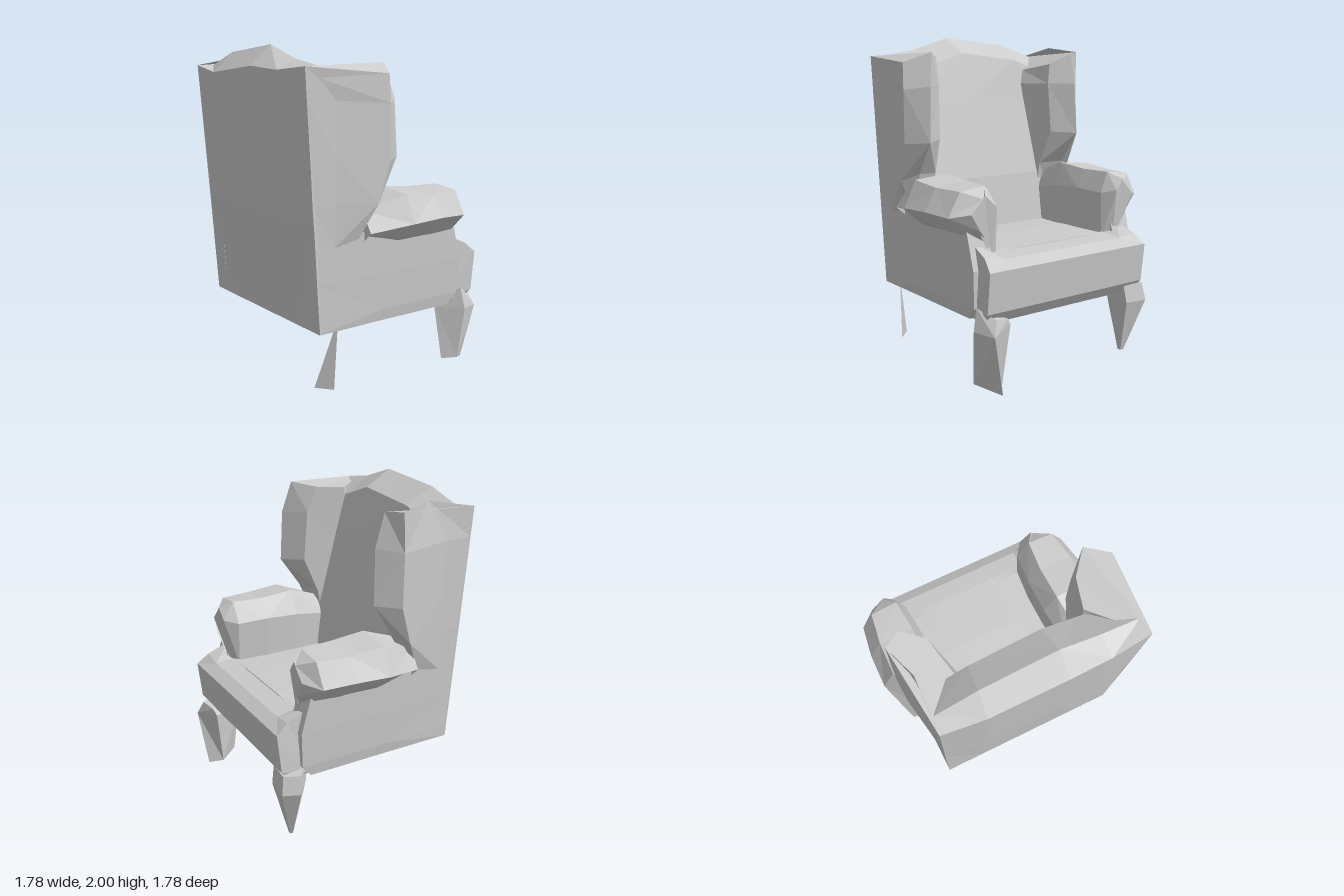
import * as THREE from 'three';

const material = new THREE.MeshStandardMaterial({ color: 0xcccccc, flatShading: true });

// Closed faceted solid through rings of [x, y, z] points, turned outward by its signed volume.
function loft(name, rings) {
  const tris = [];
  const n = rings[0].length;
  for (let i = 0; i < rings.length - 1; i++) {
    for (let j = 0; j < n; j++) {
      const k = (j + 1) % n;
      const a = rings[i][j], b = rings[i][k], c = rings[i + 1][k], d = rings[i + 1][j];
      if ((i + j) % 2) tris.push([a, b, c], [a, c, d]);
      else tris.push([a, b, d], [b, c, d]);
    }
  }
  const first = rings[0], last = rings[rings.length - 1];
  for (let j = 1; j < n - 1; j++) {
    tris.push([first[0], first[j + 1], first[j]], [last[0], last[j], last[j + 1]]);
  }
  let volume = 0;
  const [a, b, c] = [0, 1, 2].map(() => new THREE.Vector3());
  for (const t of tris) {
    volume += a.fromArray(t[0]).dot(b.fromArray(t[1]).cross(c.fromArray(t[2])));
  }
  if (volume < 0) tris.forEach((t) => t.reverse());
  const geometry = new THREE.BufferGeometry();
  geometry.setAttribute('position', new THREE.Float32BufferAttribute(tris.flat(2), 3));
  geometry.computeVertexNormals();
  const mesh = new THREE.Mesh(geometry, material);
  mesh.name = name;
  return mesh;
}

const mirror = (rings, side) => rings.map((r) => r.map(([x, y, z]) => [x * side, y, z]));

// Four-cornered horizontal ring
const rect = (y, x0, x1, z0, z1) => [[x0, y, z0], [x1, y, z0], [x1, y, z1], [x0, y, z1]];

function createBack() {
  // half width factor, rear edge height, crown height, rear bulge, cushion bulge
  const slices = [[-1, 1.88, 1.88, 0, 0], [-0.6, 1.86, 1.92, 0.02, 0.01], [-0.18, 1.88, 2, 0.03, 0.03],
    [0.58, 1.84, 1.96, 0.02, 0.01], [1, 1.88, 1.88, 0, 0]];
  return loft('backrest', slices.map(([f, edge, top, rear, puff]) => [
    [0.595 * f, 0.41, -0.545],
    [0.6 * f, 1.04, -0.585 - rear],
    [0.613 * f, edge, -0.645 - rear],
    [0.6 * f, top, -0.54],
    [0.56 * f, top - 0.1, -0.37],
    [0.55 * f, 1.6, -0.33 + puff],
    [0.55 * f, 1.1, -0.22 + puff],
    [0.55 * f, 0.74, -0.18 + puff],
    [0.55 * f, 0.41, -0.18],
  ]));
}

function createSeat() {
  const seat = new THREE.Group();
  seat.name = 'seat';
  // Front of the cushion spreads in front of the arms and climbs to meet them
  const section = (x, rise) => [
    [x * 0.95, 0.41, 0.4], [x * 0.95, 0.41, 0.57], [x, 0.48, 0.62], [x, 0.72, 0.645],
    [x * 0.97, 0.76 + rise * 0.3, 0.57], [x * 0.95, 0.77 + rise, 0.42],
  ];
  seat.add(loft('cushionFront', [
    section(-0.6, 0.08), section(-0.46, 0.01), section(0, 0.01), section(0.46, 0.01), section(0.59, 0.06),
  ]));
  // Main block with a softly domed top
  seat.add(loft('cushion', [-0.48, -0.2, 0.2, 0.48].map((x) => {
    const d = Math.abs(x) < 0.3 ? 0.012 : 0;
    return [[x, 0.405, -0.5], [x, 0.77, -0.3], [x, 0.775 + d, 0.1], [x, 0.77 + d, 0.45], [x, 0.405, 0.5]];
  })));
  return seat;
}

function createSide(side) {
  const prefix = side > 0 ? 'left' : 'right';
  const group = new THREE.Group();
  group.name = prefix + 'Side';

  // Upholstered panel below the armrest, fuller towards the front
  const panel = [[0.41, 0.593, 0.59, -0.545, 0.43], [0.48, 0.595, 0.6, -0.55, 0.49],
    [0.7, 0.597, 0.61, -0.565, 0.5], [0.96, 0.599, 0.615, -0.58, 0.43]];
  group.add(loft(prefix + 'Panel', mirror(panel.map(([y, rearX, frontX, z0, z1]) => [
    [0.47, y, z0], [rearX, y, z0], [frontX, y, -0.1], [frontX, y, z1], [0.47, y, z1],
  ]), side)));

  // Armrest, its inner face running down to the seat
  const inset = side > 0 ? 0.03 : 0;
  const arm = [
    // z, inner x, underside x, outer x, bottom, middle, top
    [-0.25, 0.4, 0.62, 0.67, 0.945, 0.96, 1.1],
    [0.0, 0.37, 0.66, 0.755, 0.91, 1.0, 1.18],
    [0.22, 0.37, 0.65, 0.75, 0.91, 1.01, 1.16],
    [0.42, 0.39, 0.62, 0.72, 0.9, 1.0, 1.16],
    [0.5, 0.45, 0.56, 0.62, 0.92, 1.02, 1.12],
  ];
  group.add(loft(prefix + 'Armrest', mirror(arm.map(([z, xi, xu, xo, y0, y1, y2]) => [
    [xi + inset + 0.01, 0.74, Math.min(z, 0.46)], [xu, y0, z], [xo, y1, z],
    [xo - 0.08, y2 - 0.02, z], [xi + 0.08, y2, z], [xi + inset, y1 + 0.03, z],
  ]), side)));

  // Wing: rear outer, mid outer, front outer, nose, front inner, rear inner
  const top = side > 0
    ? [[0.613, 1.88, -0.645], [0.6, 1.94, -0.32], [0.67, 1.91, -0.11], [0.57, 1.9, -0.05], [0.45, 1.83, -0.13], [0.4, 1.79, -0.36]]
    : [[0.613, 1.88, -0.645], [0.615, 1.82, -0.56], [0.67, 1.84, -0.13], [0.52, 1.9, -0.05], [0.41, 1.87, -0.18], [0.36, 1.86, -0.36]];
  const wing = [
    [[0.598, 0.9, -0.575], [0.605, 0.9, -0.45], [0.6, 0.9, -0.3], [0.54, 0.9, -0.24], [0.42, 0.9, -0.24], [0.36, 0.9, -0.4]],
    [[0.601, 1.14, -0.595], [0.615, 1.14, -0.45], [0.665, 1.13, -0.19], [0.57, 1.17, -0.13], [0.42, 1.16, -0.19], [0.36, 1.16, -0.4]],
    [[0.605, 1.4, -0.61], [0.62, 1.4, -0.45], [0.675, 1.36, -0.12], [0.575, 1.37, 0.01], [0.44, 1.38, -0.1], [0.36, 1.4, -0.4]],
    [[0.61, 1.7, -0.63], [0.62, 1.7, -0.45], [0.675, 1.68, -0.12], [0.56, 1.7, 0.0], [0.43, 1.7, -0.12], [0.36, 1.7, -0.38]],
    top,
  ];
  group.add(loft(prefix + 'Wing', mirror(wing, side)));
  return group;
}

function createLegs() {
  const legs = new THREE.Group();
  legs.name = 'legs';
  legs.add(loft('rightFrontLeg', [
    [[0.69, 0.04, 0.09], [0.79, 0.05, 0.08], [0.81, 0.0, -0.09], [0.71, 0.02, -0.07]],
    [[0.64, 0.37, 0.075], [0.83, 0.37, 0.07], [0.89, 0.36, -0.06], [0.72, 0.39, -0.12]],
    [[0.72, 0.47, 0.07], [0.8, 0.5, 0.06], [0.84, 0.45, -0.06], [0.75, 0.43, -0.11]],
  ]));
  // Tapered five-sided leg
  const outline = [[-0.1, -0.08], [0, -0.12], [0.1, 0], [0, 0.12], [-0.08, 0.09]];
  legs.add(loft('leftFrontLeg', [[0.01, 0.15, -0.74], [0.35, 1, -0.77], [0.46, 0.95, -0.75]].map(
    ([y, s, z]) => outline.map(([dx, dz]) => [0.01 + dx * s, y, z + dz * s]))));
  // Thin rear leg
  const sheet = new THREE.Shape([[-0.02, 0.05], [0.095, 0.045], [0.115, 0.42], [0.1, 0.42]]
    .map(([x, y]) => new THREE.Vector2(x, y)));
  const thin = material.clone();
  thin.side = THREE.DoubleSide;
  const rear = new THREE.Mesh(new THREE.ShapeGeometry(sheet), thin);
  rear.name = 'rearLeg';
  rear.position.z = 0.69;
  legs.add(rear);
  return legs;
}

export function createModel() {
  const model = new THREE.Group();
  model.name = 'wingArmchair';
  // Upholstered body is built facing +z, then turned to its diagonal stance
  const body = new THREE.Group();
  body.name = 'body';
  body.add(createBack(), createSeat(), createSide(1), createSide(-1));
  body.rotation.y = Math.PI * 0.75;
  model.add(body, createLegs());
  return model;
}
